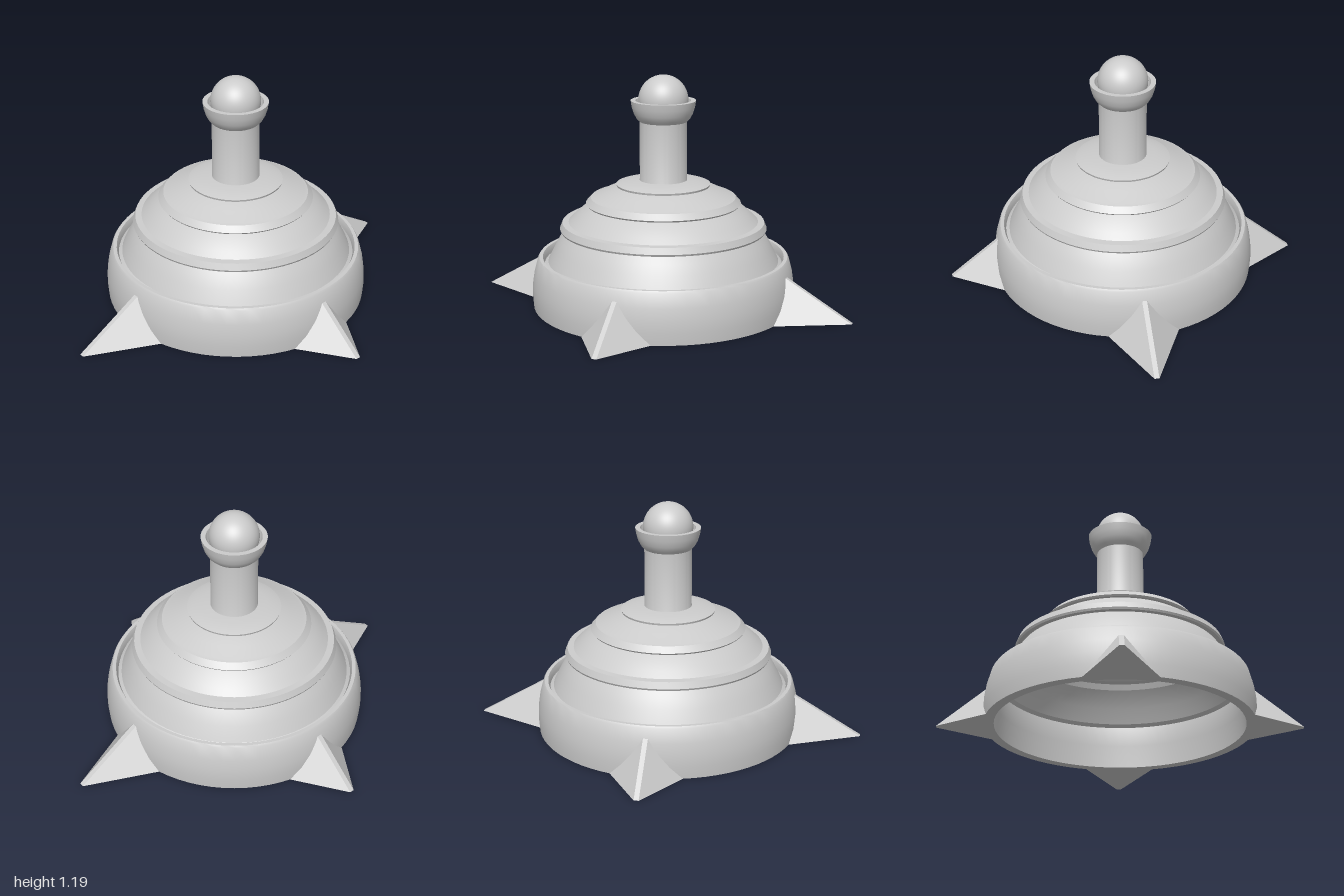
import * as THREE from 'three';
import { toCreasedNormals } from 'three/addons/utils/BufferGeometryUtils.js';

const material = new THREE.MeshStandardMaterial({ color: 0xcccccc, side: THREE.DoubleSide });
const flatMaterial = new THREE.MeshStandardMaterial({ color: 0xcccccc, flatShading: true });

function turned(name, profile) {
  const points = profile.map(([r, y]) => new THREE.Vector2(r, y));
  const geometry = toCreasedNormals(new THREE.LatheGeometry(points, 72), 0.45);
  const mesh = new THREE.Mesh(geometry, material);
  mesh.name = name;
  return mesh;
}

// Wedge with a narrow flat ridge, running from inside the wall down to the tip along +z
function spike(name, length, angle) {
  const root = 0.63, wall = 0.66, ridge = 0.012;
  const grow = (length - root) / (length - wall);
  const h = 0.2 * grow, w = ridge + (0.17 - ridge) * grow;
  const corners = [
    [-w, 0, root], [w, 0, root], [ridge, h, root], [-ridge, h, root],
    [-ridge, 0, length], [ridge, 0, length],
  ];
  const faces = [
    3, 4, 5, 3, 5, 2, // ridge
    2, 5, 1, 3, 0, 4, // flanks
    0, 1, 5, 0, 5, 4, // underside
    0, 3, 2, 0, 2, 1, // root
  ];
  const geometry = new THREE.BufferGeometry();
  geometry.setAttribute('position', new THREE.Float32BufferAttribute(faces.flatMap((i) => corners[i]), 3));
  geometry.computeVertexNormals();
  const mesh = new THREE.Mesh(geometry, flatMaterial);
  mesh.name = name;
  mesh.rotation.y = angle;
  return mesh;
}

export function createModel() {
  const group = new THREE.Group();
  group.name = 'spikedDome';

  // Thick, bulging base ring, open underneath
  group.add(turned('baseRing', [
    [0.62, 0], [0.67, 0], [0.675, 0.06], [0.673, 0.12], [0.664, 0.18], [0.645, 0.25],
    [0.638, 0.26], [0.62, 0.26], [0.61, 0.235], [0.617, 0.12], [0.62, 0],
  ]));

  // Hollow stepped dome with a raised band at each step
  group.add(turned('dome', [
    [0.612, 0.22], [0.592, 0.235], [0.578, 0.265], [0.555, 0.31], [0.53, 0.355], [0.5, 0.395],
    [0.525, 0.395], [0.53, 0.405], [0.517, 0.437], [0.485, 0.44],
    [0.455, 0.468], [0.418, 0.5], [0.375, 0.528],
    [0.39, 0.528], [0.396, 0.536], [0.37, 0.565], [0.352, 0.57],
    [0.29, 0.6], [0.215, 0.624],
    [0.237, 0.624], [0.24, 0.634], [0.21, 0.643], [0.165, 0.65], [0.11, 0.655],
  ]));

  // Column
  group.add(turned('column', [[0.125, 0.645], [0.12, 0.657], [0.12, 0.96]]));

  // Cup with an open rim
  group.add(turned('cup', [
    [0, 0.95], [0.115, 0.95], [0.135, 0.97], [0.15, 0.997], [0.16, 1.03], [0.165, 1.062],
    [0.14, 1.062], [0.132, 1.03], [0.115, 1.0], [0, 0.985],
  ]));

  // Ball resting in the cup
  const ball = new THREE.Mesh(new THREE.SphereGeometry(0.126, 48, 32), material);
  ball.name = 'ball';
  ball.position.y = 1.065;
  group.add(ball);

  // Four spikes, the side pair longer
  ['frontSpike', 'leftSpike', 'backSpike', 'rightSpike'].forEach((name, i) => {
    group.add(spike(name, i % 2 ? 1 : 0.905, (i * Math.PI) / 2));
  });

  return group;
}
